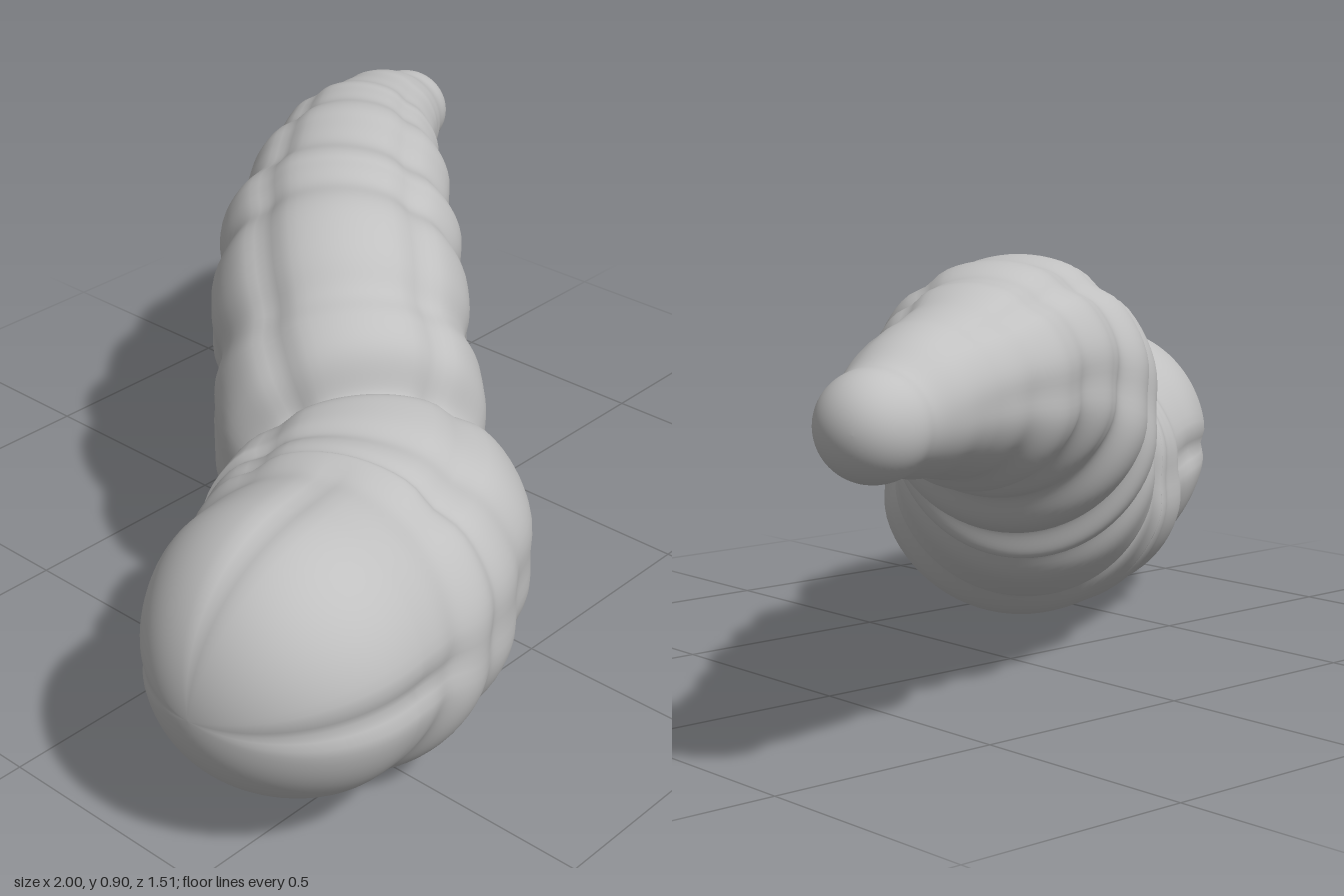
import * as THREE from 'three';

// Spine stations from head to tail: x, y, z, side radius, upright radius
const SPINE = [
  [-1.0, 0.38, 0.49, 0.28, 0.285],
  [-0.72, 0.385, 0.465, 0.295, 0.295],
  [-0.51, 0.345, 0.405, 0.335, 0.33],
  [-0.345, 0.35, 0.325, 0.345, 0.325],
  [-0.21, 0.38, 0.19, 0.315, 0.315],
  [-0.08, 0.475, 0.03, 0.295, 0.32],
  [0.05, 0.585, -0.11, 0.29, 0.325],
  [0.19, 0.64, -0.235, 0.28, 0.285],
  [0.355, 0.69, -0.36, 0.24, 0.23],
  [0.53, 0.697, -0.49, 0.2, 0.195],
  [0.72, 0.697, -0.59, 0.15, 0.145],
  [0.88, 0.675, -0.655, 0.105, 0.1],
  [0.98, 0.67, -0.715, 0.1, 0.1],
];
// Creases between the body rings: station, depth, width
const CREASES = [
  [1.45, 0.06, 0.17], [2.05, 0.05, 0.17], [2.75, 0.06, 0.2],
  [4.25, 0.12, 0.23], [5.45, 0.12, 0.23], [6.5, 0.12, 0.23], [7.5, 0.12, 0.23],
  [8.5, 0.12, 0.23], [9.4, 0.11, 0.23], [10.2, 0.07, 0.23],
];

const bell = (d, width) => Math.exp(-((d / width) ** 2));

// Smoothly interpolated radius from the spine table
function radiusAt(t, column) {
  const i = Math.min(Math.floor(t), SPINE.length - 2);
  return THREE.MathUtils.lerp(SPINE[i][column], SPINE[i + 1][column], THREE.MathUtils.smoothstep(t - i, 0, 1));
}

// Rounded end: grows like a sphere of radius R with distance from the end
const cap = (d, R) => (d >= R ? 1 : Math.sqrt(Math.max(0, 1 - (1 - d / R) ** 2)));

// Creases, lengthwise furrows and neck fold that shape the skin
function relief(t, a) {
  const up = Math.sin(a), across = Math.cos(a);
  const side = Math.asin(Math.abs(up));        // angle from the side line
  const top = up > 0 ? Math.abs(across) : 2;   // distance from the back line
  let f = 1;
  // creases cut deepest underneath
  for (const [c, depth, width] of CREASES) f -= depth * (0.7 - 0.3 * up) * bell(t - c, width);
  // cross-shaped head cleft
  const head = 1 - THREE.MathUtils.smoothstep(t, 1.0, 1.9);
  f -= 0.07 * head * bell(side, 0.11);
  f -= 0.04 * head * bell(top, 0.09);
  // side furrow and edges of the back plates along the body
  const body = THREE.MathUtils.smoothstep(t, 1.2, 2) * (1 - THREE.MathUtils.smoothstep(t, 9, 11));
  f -= 0.04 * body * bell(side, 0.2);
  if (up > 0) f -= 0.045 * body * bell(side - 0.95, 0.13);
  // fold behind the head
  f -= 0.19 * bell(t - 4.25, 0.36) * THREE.MathUtils.smoothstep(up, -0.2, 0.8);
  return f;
}

function bodyGeometry(rings = 300, sides = 80) {
  const last = SPINE.length - 1;
  const curve = new THREE.CatmullRomCurve3(SPINE.map(([x, y, z]) => new THREE.Vector3(x, y, z)));
  const head = curve.getPoint(0), tail = curve.getPoint(1);
  const worldUp = new THREE.Vector3(0, 1, 0);
  const points = [], index = [];
  for (let i = 0; i <= rings; i++) {
    let t = (i / rings) * last;
    if (t < 1) t = t * t;                                   // finer rings at both tips
    else if (t > last - 1) t = last - (last - t) ** 2;
    const c = curve.getPoint(t / last);
    const along = curve.getTangent(t / last);
    const side = new THREE.Vector3().crossVectors(along, worldUp).normalize();
    const up = new THREE.Vector3().crossVectors(side, along);
    const end = cap(c.distanceTo(head), 0.3) * cap(c.distanceTo(tail), 0.1);
    const rs = radiusAt(t, 3) * end, ru = radiusAt(t, 4) * end;
    for (let j = 0; j < sides; j++) {
      const a = (j / sides) * Math.PI * 2, f = relief(t, a);
      const p = c.clone()
        .addScaledVector(side, Math.cos(a) * rs * f)
        .addScaledVector(up, Math.sin(a) * ru * f);
      points.push(p.x, p.y, p.z);
      if (i < rings) {
        const k = (j + 1) % sides, r0 = i * sides, r1 = r0 + sides;
        index.push(r0 + j, r1 + j, r0 + k, r1 + j, r1 + k, r0 + k);
      }
    }
  }
  const g = new THREE.BufferGeometry();
  g.setAttribute('position', new THREE.Float32BufferAttribute(points, 3));
  g.setIndex(index);
  // stand on the ground, centred
  g.computeBoundingBox();
  const b = g.boundingBox, mid = b.getCenter(new THREE.Vector3());
  g.translate(-mid.x, -b.min.y, -mid.z);
  g.computeVertexNormals();
  return g;
}

export function createModel() {
  const group = new THREE.Group();
  group.name = 'grub';
  const skin = new THREE.MeshStandardMaterial({ color: 0xc0c0c0 });
  skin.name = 'grey skin';
  const body = new THREE.Mesh(bodyGeometry(), skin);
  body.name = 'segmentedBody';
  group.add(body);
  return group;
}
